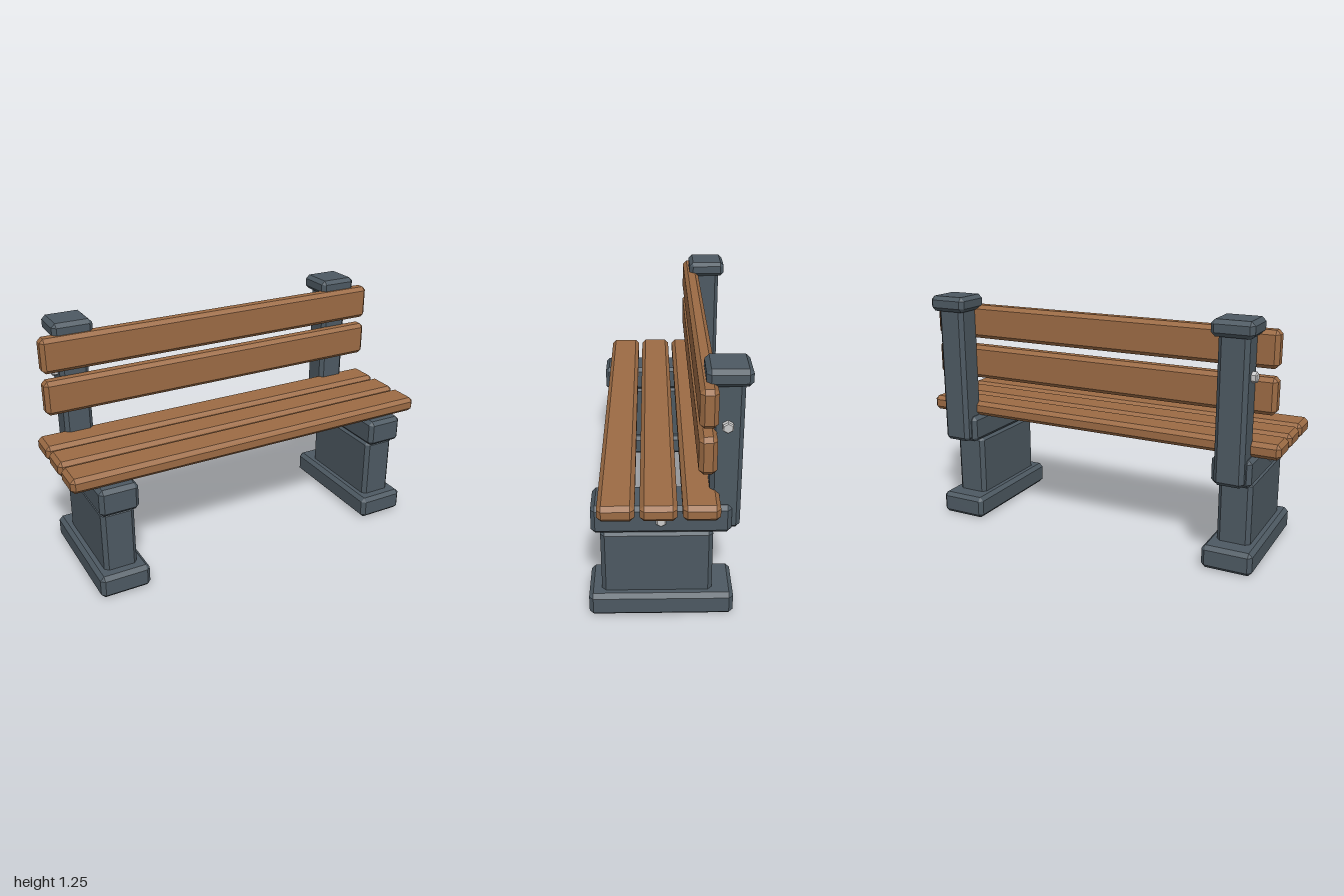
import * as THREE from 'three';
import { ConvexGeometry } from 'three/addons/geometries/ConvexGeometry.js';

const stone = new THREE.MeshStandardMaterial({ color: 0x4d5962, flatShading: true });
const wood = new THREE.MeshStandardMaterial({ color: 0x9c6b44, flatShading: true });
const metal = new THREE.MeshStandardMaterial({ color: 0xcccccc, flatShading: true });

// Box with chamfered edges, given by its extents on each axis
function chamferBox(name, material, [x0, x1], [y0, y1], [z0, z1], c = 0.02) {
  const hx = (x1 - x0) / 2, hy = (y1 - y0) / 2, hz = (z1 - z0) / 2;
  const points = [];
  for (const sx of [-1, 1]) for (const sy of [-1, 1]) for (const sz of [-1, 1]) {
    points.push(
      new THREE.Vector3(sx * hx, sy * (hy - c), sz * (hz - c)),
      new THREE.Vector3(sx * (hx - c), sy * hy, sz * (hz - c)),
      new THREE.Vector3(sx * (hx - c), sy * (hy - c), sz * hz));
  }
  const mesh = new THREE.Mesh(new ConvexGeometry(points), material);
  mesh.position.set((x0 + x1) / 2, (y0 + y1) / 2, (z0 + z1) / 2);
  mesh.name = name;
  return mesh;
}

// Hexagonal bolt head pointing outwards along x
function bolt(name, side, x0, x1, y, z, r) {
  const group = new THREE.Group();
  group.name = name;
  const body = new THREE.Mesh(new THREE.CylinderGeometry(r, r, x1 - x0 - 0.006, 6), metal);
  const rim = new THREE.Mesh(new THREE.CylinderGeometry(r * 0.78, r, 0.006, 6), metal);
  body.name = 'boltBody';
  rim.name = 'boltRim';
  rim.position.y = (x1 - x0) / 2;
  group.add(body, rim);
  group.rotation.z = -side * Math.PI / 2;
  group.rotation.x = 0;
  // turn each head so a corner points up
  for (const part of group.children) part.rotation.y = Math.PI / 2;
  group.position.set(side * (x0 + x1 - 0.006) / 2, y, z);
  return group;
}

export function createModel() {
  const model = new THREE.Group();
  model.name = 'bench';

  // Two end supports
  for (const side of [-1, 1]) {
    const support = new THREE.Group();
    support.name = side > 0 ? 'leftSupport' : 'rightSupport';
    const span = (half) => [side * 0.782 - half, side * 0.782 + half];
    support.add(
      chamferBox('foot', stone, span(0.13), [0, 0.12], [-0.314, 0.364]),
      chamferBox('leg', stone, span(0.086), [0.08, 0.445], [-0.215, 0.304]),
      chamferBox('seatBearer', stone, span(0.1), [0.443, 0.585], [-0.295, 0.344]),
      chamferBox('backPost', stone, span(0.075), [0.452, 1.2], [-0.335, -0.192]),
      chamferBox('postCap', stone, span(0.104), [1.17, 1.25], [-0.364, -0.165]),
      bolt('seatBolt', side, 0.87, 0.893, 0.513, 0.025, 0.025),
      bolt('backBolt', side, 0.845, 0.884, 0.982, -0.262, 0.027));
    model.add(support);
  }

  // Seat slats
  [0.225, 0.037, -0.152].forEach((z, i) => model.add(
    chamferBox('seatSlat' + (i + 1), wood, [-1, 1], [0.582, 0.66], [z - 0.083, z + 0.083])));

  // Back slats
  [0.882, 1.103].forEach((y, i) => model.add(
    chamferBox('backSlat' + (i + 1), wood, [-0.96, 0.96], [y - 0.09, y + 0.09], [-0.215, -0.135])));

  return model;
}
